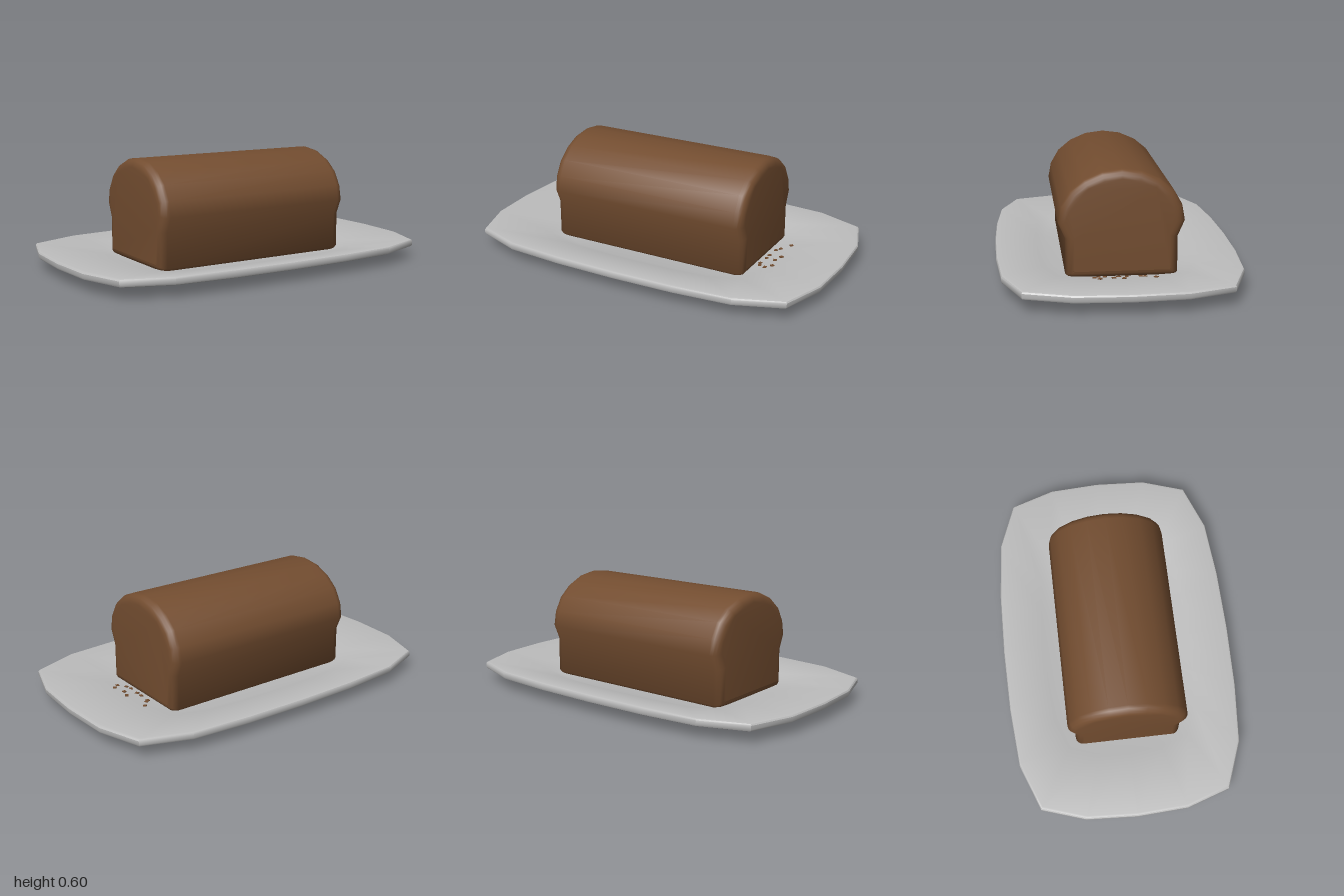
import * as THREE from 'three';
import { mergeVertices, toCreasedNormals } from 'three/addons/utils/BufferGeometryUtils.js';

// One quarter of the plate outline, as fractions of its half width and half depth
const QUARTER = [[1, 0], [0.985, 0.43], [0.907, 0.8], [0.657, 0.948], [0.34, 0.989]];

function plateOutline() {
  const ring = [];
  for (let q = 0; q < 4; q++) {
    const mirrored = q % 2 === 1;
    const part = mirrored ? [...QUARTER.slice(1), [0, 1]].reverse() : QUARTER;
    const sx = q === 0 || q === 3 ? 1 : -1;
    const sz = q < 2 ? 1 : -1;
    for (const [x, z] of part) ring.push([sx * x, sz * z]);
  }
  return ring;
}

// Closed shell from rings of [half width, half depth, height], listed bottom to top
function shell(levels) {
  const ring = plateOutline();
  const n = ring.length;
  const pos = [];
  const index = [];
  for (const [w, d, y] of levels) for (const [x, z] of ring) pos.push(x * w, y, z * d);
  const last = (levels.length - 1) * n;
  const bottom = levels.length * n;
  pos.push(0, levels[0][2], 0, 0, levels[levels.length - 1][2], 0);
  for (let i = 0; i < n; i++) {
    const j = (i + 1) % n;
    for (let k = 0; k < last; k += n) {
      index.push(k + i, k + n + i, k + j, k + j, k + n + i, k + n + j);
    }
    index.push(bottom, i, j, bottom + 1, last + j, last + i);
  }
  const geo = new THREE.BufferGeometry();
  geo.setAttribute('position', new THREE.Float32BufferAttribute(pos, 3));
  geo.setIndex(index);
  return toCreasedNormals(geo, 0.6);
}

// Loaf: domed bread section, extruded lengthwise with rounded ends
function loafGeometry() {
  const half = [[0.265, 0.045], [0.285, 0.065], [0.285, 0.25], [0.32, 0.33], [0.305, 0.412],
    [0.26, 0.49], [0.19, 0.548], [0.1, 0.587]];
  const points = [...half, [0, 0.6], ...half.map(([x, y]) => [-x, y]).reverse()];
  const shape = new THREE.Shape(points.map(([x, y]) => new THREE.Vector2(x, y)));
  const bevel = 0.045;
  const length = 1.14;
  const geo = new THREE.ExtrudeGeometry(shape, {
    depth: length - 2 * bevel, bevelThickness: bevel, bevelSize: bevel, bevelOffset: -bevel, bevelSegments: 4,
  });
  geo.translate(0, 0, bevel - length / 2);
  geo.rotateY(Math.PI / 2);
  geo.deleteAttribute('uv');
  geo.deleteAttribute('normal');
  return toCreasedNormals(mergeVertices(geo, 1e-4), 0.9);
}

export function createModel() {
  const model = new THREE.Group();
  model.name = 'loafOnPlate';
  const crust = new THREE.MeshStandardMaterial({ color: 0x734d30 });
  crust.name = 'brown crust';
  const ceramic = new THREE.MeshStandardMaterial({ color: 0xbdbdbd });
  ceramic.name = 'grey ceramic';

  // Plate: foot, sloping underside, rounded rim, sloping top, flat well
  const plate = new THREE.Mesh(shell([
    [0.53, 0.34, 0], [0.62, 0.4, 0.03], [0.975, 0.62, 0.06], [0.995, 0.633, 0.066], [1, 0.637, 0.075],
    [1, 0.637, 0.095], [0.995, 0.633, 0.102], [0.985, 0.625, 0.105],
    [0.645, 0.41, 0.07], [0.56, 0.36, 0.05],
  ]), ceramic);
  plate.name = 'plate';
  model.add(plate);

  const loaf = new THREE.Mesh(loafGeometry(), crust);
  loaf.name = 'loaf';
  model.add(loaf);

  // Tiny crumbs scattered beside one end
  const crumbs = new THREE.Group();
  crumbs.name = 'crumbs';
  const crumbGeo = new THREE.BoxGeometry(0.018, 0.006, 0.018);
  const spots = [[0.59, -0.09], [0.61, -0.11], [0.585, -0.02], [0.585, 0.02], [0.58, 0.09],
    [0.59, 0.12], [0.66, 0], [0.645, 0.05], [0.66, 0.12], [0.63, 0.145], [0.65, -0.16]];
  spots.forEach(([x, z], i) => {
    const crumb = new THREE.Mesh(crumbGeo, crust);
    crumb.name = 'crumb';
    const y = x < 0.645 ? 0.05 + (x - 0.56) * 0.235 : 0.07 + (x - 0.645) * 0.103;
    crumb.position.set(x, y + 0.002, z);
    crumb.rotation.y = i * 0.7;
    crumbs.add(crumb);
  });
  model.add(crumbs);
  return model;
}
